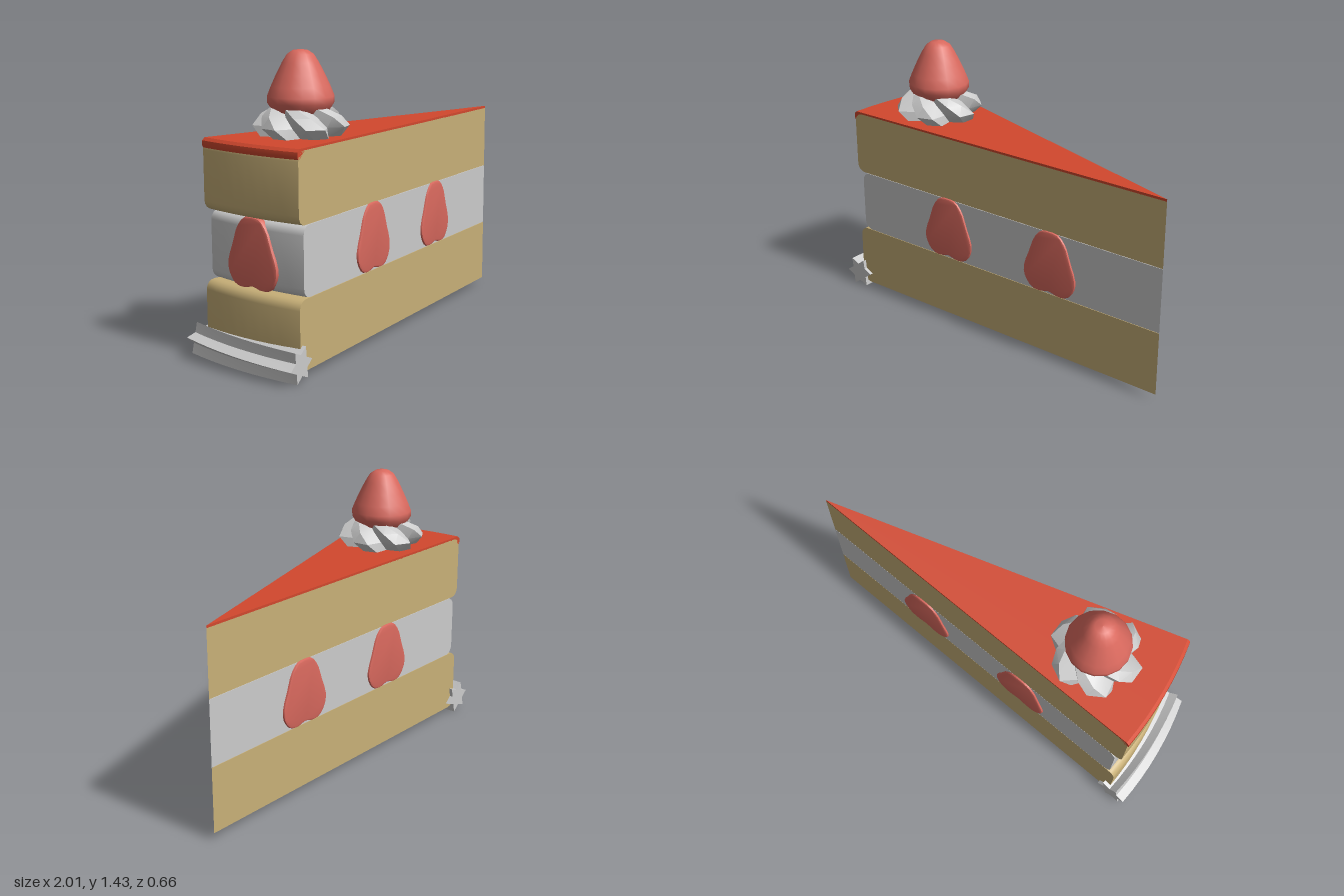
import * as THREE from 'three';
import { mergeGeometries, toCreasedNormals } from 'three/addons/utils/BufferGeometryUtils.js';

const HALF = 0.156;       // half the angle of the slice
const TIP = 1;            // x of the pointed end
const BACK = Math.PI * 1.5;

const mat = (color) => new THREE.MeshStandardMaterial({ color, side: THREE.DoubleSide });

function add(parent, name, geometry, material) {
  const mesh = new THREE.Mesh(geometry, material);
  mesh.name = name;
  parent.add(mesh);
  return mesh;
}

// Revolves a closed [radius, y] profile through the slice angle and caps both cut sides
function wedge(profile) {
  const pts = profile.map(([r, y]) => new THREE.Vector2(r, y));
  const parts = [new THREE.LatheGeometry(pts, 8, BACK - HALF, HALF * 2)];
  for (const side of [-1, 1]) {
    const cap = new THREE.ShapeGeometry(new THREE.Shape(pts));
    cap.rotateY(BACK + side * HALF - Math.PI / 2);
    if (side > 0) cap.index.array.reverse();
    parts.push(cap);
  }
  const geo = mergeGeometries(parts.map((g) => toCreasedNormals(g, 0.7)));
  return geo.translate(TIP, 0, 0);
}

// Slab profile with rounded outer corners
function slab(y0, y1, R, b) {
  const pts = [[0, y0]];
  for (let i = 0; i <= 4; i++) {
    const a = (i / 4) * Math.PI / 2;
    pts.push([R - b + b * Math.sin(a), y0 + b - b * Math.cos(a)]);
  }
  for (let i = 0; i <= 4; i++) {
    const a = (i / 4) * Math.PI / 2;
    pts.push([R - b + b * Math.cos(a), y1 - b + b * Math.sin(a)]);
  }
  pts.push([0, y1]);
  return pts;
}

// Skins a row of equal rings of Vector3 and closes both ends
function loft(rings) {
  const n = rings[0].length, pos = [], idx = [];
  rings.forEach((ring) => ring.forEach((p) => pos.push(p.x, p.y, p.z)));
  for (let i = 0; i < rings.length - 1; i++) {
    for (let j = 0; j < n; j++) {
      const a = i * n + j, b = i * n + (j + 1) % n;
      idx.push(a, a + n, b, b, a + n, b + n);
    }
  }
  for (const end of [0, rings.length - 1]) {
    const c = new THREE.Vector3();
    rings[end].forEach((p) => c.addScaledVector(p, 1 / n));
    const k = pos.length / 3;
    pos.push(c.x, c.y, c.z);
    for (let j = 0; j < n; j++) {
      const a = end * n + j, b = end * n + (j + 1) % n;
      if (end) idx.push(k, b, a); else idx.push(k, a, b);
    }
  }
  const geo = new THREE.BufferGeometry();
  geo.setAttribute('position', new THREE.Float32BufferAttribute(pos, 3));
  geo.setIndex(idx);
  return toCreasedNormals(geo, 0.4);
}

// Heart-like outline of a halved strawberry, lightly bevelled
function sliceGeometry() {
  const half = [[0.05, 0.008], [0.1, 0.014], [0.138, 0.06], [0.145, 0.11],
    [0.113, 0.2], [0.085, 0.275], [0.045, 0.318]];
  const outline = [[0, 0.02], ...half, [0, 0.323],
    ...half.slice().reverse().map(([x, y]) => [-x, y])];
  const curve = new THREE.CatmullRomCurve3(
    outline.map(([x, y]) => new THREE.Vector3(x, y, 0)), true);
  const shape = new THREE.Shape(curve.getPoints(36).slice(0, -1).map((p) => new THREE.Vector2(p.x, p.y)));
  const geo = new THREE.ExtrudeGeometry(shape, {
    depth: 0.02, bevelThickness: 0.008, bevelSize: 0.008, bevelSegments: 2,
  });
  return toCreasedNormals(geo.translate(0, 0, -0.018), 0.6);
}

export function createModel() {
  const model = new THREE.Group();
  model.name = 'cakeSlice';
  const sponge = mat(0xc8b078), cream = mat(0xcccccc);
  const glaze = mat(0xd2482e), berry = mat(0xd9695e);

  // Stacked layers
  add(model, 'lowerSponge', wedge(slab(0.04, 0.368, 1.9, 0.045)), sponge);
  add(model, 'creamFilling', wedge(slab(0.37, 0.698, 1.865, 0.045)), cream);
  add(model, 'upperSponge', wedge(slab(0.7, 1.028, 1.9, 0.045)), sponge);

  // Glaze folding over the outer rim
  add(model, 'glaze', wedge([[0, 1.026], [1.83, 1.026], [1.87, 1.012], [1.885, 0.995],
    [1.9, 0.992], [1.906, 1.005], [1.904, 1.025], [1.89, 1.038], [0, 1.04]]), glaze);

  // Strawberry halves on both cut sides and on the outer face
  const slice = sliceGeometry();
  for (const side of [1, -1]) {
    for (const x of [-0.25, 0.385]) {
      const m = add(model, 'strawberrySlice', slice, berry);
      m.position.set(x, 0.372, side * (TIP - x) * Math.tan(HALF));
      m.rotation.y = side > 0 ? HALF : Math.PI - HALF;
    }
  }
  const backSlice = add(model, 'strawberrySlice', slice, berry);
  backSlice.position.set(TIP - 1.865, 0.372, 0);
  backSlice.rotation.y = -Math.PI / 2;

  // Piped star-section cream rope along the outer foot
  const rope = [];
  for (let i = 0; i <= 8; i++) {
    const t = i / 8, a = (t * 2 - 1) * 0.166, ring = [];
    for (let j = 0; j < 12; j++) {
      const b = (j / 12) * Math.PI * 2 + 0.3 * (1 - t) - 0.1;
      const s = j % 2 ? 0.05 : 0.086;
      const r = 1.92 + s * Math.cos(b);
      ring.push(new THREE.Vector3(TIP - r * Math.cos(a), 0.087 + s * Math.sin(b), r * Math.sin(a)));
    }
    rope.push(ring);
  }
  add(model, 'creamRope', loft(rope), cream);

  // Twisted six-lobed cream rosette
  const topping = new THREE.Group();
  topping.name = 'topping';
  topping.position.set(-0.535, 0, 0);
  model.add(topping);
  const levels = [[1.035, 0.19, 0], [1.085, 0.226, 0.22], [1.135, 0.195, 0.5], [1.168, 0.15, 0.8]];
  const lobe = [[0, 0.72], [0.3, 1], [0.68, 0.97]];
  const rosette = levels.map(([y, r, twist]) => {
    const ring = [];
    for (let k = 0; k < 6; k++) {
      for (const [t, s] of lobe) {
        const a = ((k + t - 0.5) / 6) * Math.PI * 2 + twist - 0.2;
        ring.push(new THREE.Vector3(Math.cos(a) * r * s, y, Math.sin(a) * r * s));
      }
    }
    return ring;
  });
  add(topping, 'creamRosette', loft(rosette), cream);

  // Whole strawberry, point up
  const profile = [[0, 1.12], [0.08, 1.125], [0.13, 1.15], [0.155, 1.19], [0.156, 1.22],
    [0.138, 1.265], [0.113, 1.32], [0.085, 1.375], [0.062, 1.412], [0.035, 1.43], [0, 1.435]];
  add(topping, 'strawberry',
    new THREE.LatheGeometry(profile.map(([r, y]) => new THREE.Vector2(r, y)), 16), berry);

  return model;
}
